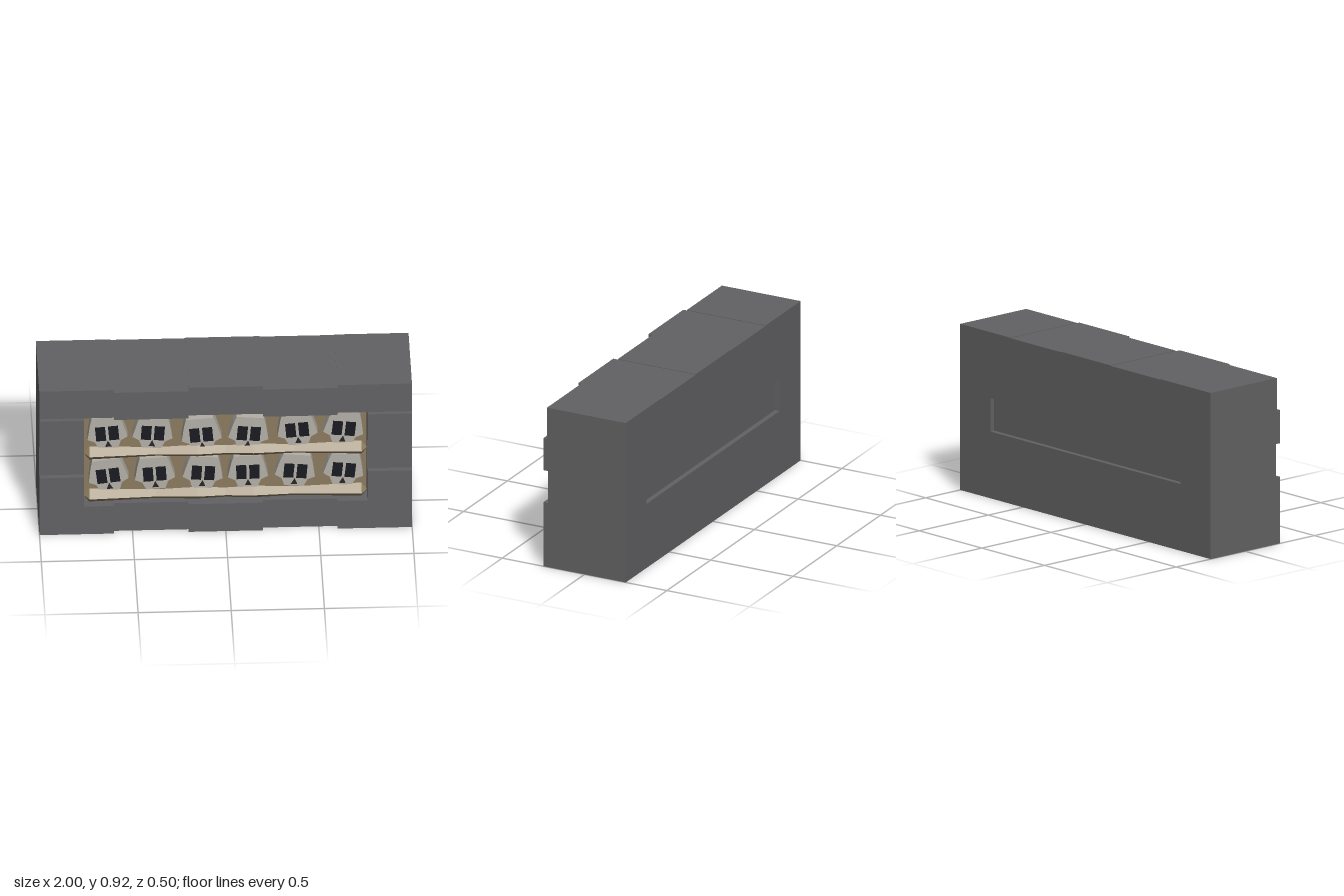
import * as THREE from 'three';

const mat = (name, color, extra = {}) => {
  const m = new THREE.MeshStandardMaterial({ color, ...extra });
  m.name = name;
  return m;
};

export function createModel() {
  const stone = mat('stone', 0x626264);
  const earth = mat('earth', 0x8b7a5e);
  const bone = mat('old bone', 0x907e61);
  const skullBone = mat('pale bone', 0xb3afa7);
  const dark = mat('socket dark', 0x1a1a22);
  const noseDark = mat('nose dark', 0x2a2426);
  const root = new THREE.Group();
  root.name = 'skullNicheWall';

  // Box given by its limits
  const block = (name, m, x0, x1, y0, y1, z0, z1, parent = root) => {
    const mesh = new THREE.Mesh(new THREE.BoxGeometry(x1 - x0, y1 - y0, z1 - z0), m);
    mesh.position.set((x0 + x1) / 2, (y0 + y1) / 2, (z0 + z1) / 2);
    mesh.name = name;
    parent.add(mesh);
  };

  // Top and bottom courses, alternately set out and set back
  const joints = [-1, -0.6, -0.2, 0.2, 0.6, 1];
  const topFront = [0.228, 0.25, 0.222, 0.25, 0.228];
  const bottomFront = [0.25, 0.225, 0.25, 0.225, 0.25];
  for (let i = 0; i < 5; i++) {
    const topY = i % 2 ? 0.917 : 0.92;
    block('topBrick', stone, joints[i], joints[i + 1], 0.74, topY, -0.25, topFront[i]);
    block('bottomBrick', stone, joints[i], joints[i + 1], 0, 0.18, -0.25, bottomFront[i]);
  }

  // Side bricks and the wall behind the niche
  const rows = [[0.18, 0.37, 0.25, -0.25], [0.37, 0.555, 0.222, -0.222], [0.555, 0.74, 0.25, -0.25]];
  for (const [y0, y1, front, back] of rows) {
    block('rightSideBrick', stone, -1, -0.76, y0, y1, -0.25, front);
    block('leftSideBrick', stone, 0.76, 1, y0, y1, -0.25, front);
    block('backWallRow', stone, -0.76, 0.76, y0, y1, back, 0.13);
  }
  block('nichePanel', earth, -0.76, 0.76, 0.18, 0.74, 0.13, 0.138);

  // Long bones: square section on edge, swelling and narrowing along x
  const boneProfile = [[-0.76, 0], [-0.73, 0.043], [-0.37, 0.028], [-0.15, 0.038], [0, 0.03],
    [0.15, 0.038], [0.37, 0.028], [0.73, 0.043], [0.76, 0]];
  const boneGeo = new THREE.LatheGeometry(
    boneProfile.map(([x, r]) => new THREE.Vector2(r, x)), 4).toNonIndexed();
  boneGeo.computeVertexNormals();
  boneGeo.rotateZ(-Math.PI / 2);
  for (const y of [0.495, 0.22]) {
    const mesh = new THREE.Mesh(boneGeo, bone);
    mesh.position.set(0, y, 0.2);
    mesh.name = 'longBone';
    root.add(mesh);
  }

  // Skull outline with a broad cranium and narrow jaw
  const half = [[0.074, 0.105], [0.088, 0.06], [0.108, -0.03], [0.07, -0.05], [0.052, -0.095]];
  const outline = [...half.map(([x, y]) => [-x, y]), ...half.reverse()]
    .map(([x, y]) => new THREE.Vector2(x, y));
  const skullGeo = new THREE.ExtrudeGeometry(new THREE.Shape(outline), { depth: 0.07, bevelEnabled: false });
  const noseGeo = new THREE.ShapeGeometry(new THREE.Shape([
    new THREE.Vector2(0, -0.044), new THREE.Vector2(0.018, -0.083), new THREE.Vector2(-0.018, -0.083)]));

  const skull = (x, y, tilt) => {
    const g = new THREE.Group();
    g.name = 'skull';
    const head = new THREE.Mesh(skullGeo, skullBone);
    head.name = 'cranium';
    g.add(head);
    for (const s of [-1, 1]) {
      block('eyeSocket', dark, s * 0.035 - 0.027, s * 0.035 + 0.027, -0.042, 0.046, 0.068, 0.074, g);
    }
    const nose = new THREE.Mesh(noseGeo, noseDark);
    nose.name = 'nose';
    nose.position.z = 0.073;
    g.add(nose);
    g.position.set(x, y, 0.134);
    g.rotation.z = THREE.MathUtils.degToRad(tilt);
    root.add(g);
  };

  // Two shelves of skulls: x, y, tilt in degrees
  [[-0.635, 0.62, 5], [-0.39, 0.617, -4], [-0.13, 0.598, 5], [0.125, 0.6, -5], [0.385, 0.617, 5],
    [0.635, 0.62, -6], [-0.63, 0.345, 7], [-0.38, 0.35, 4], [-0.12, 0.35, -4], [0.12, 0.35, 1],
    [0.375, 0.35, -5], [0.635, 0.35, -6]].forEach((p) => skull(...p));

  return root;
}
